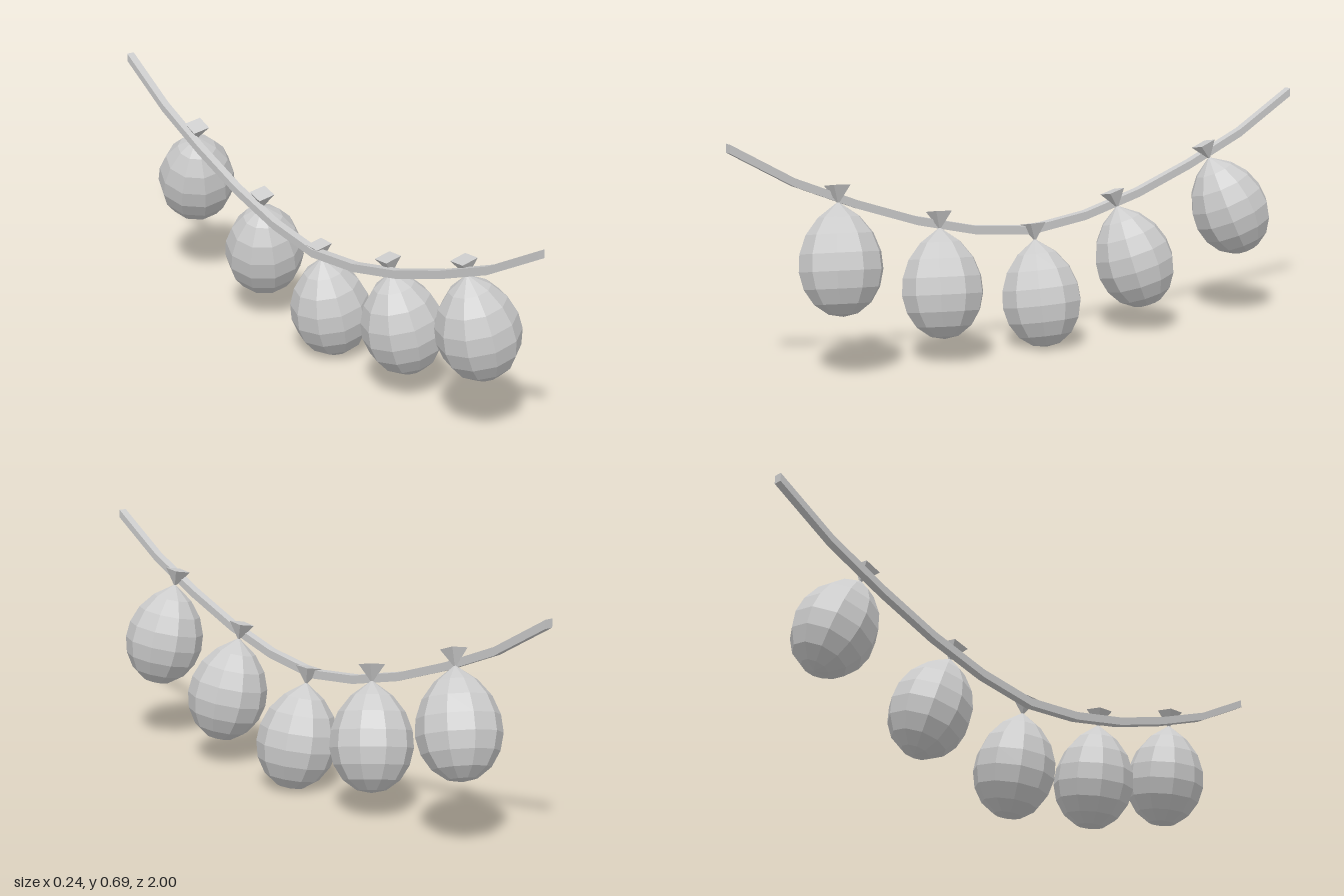
import * as THREE from 'three';

export function createModel() {
  const model = new THREE.Group();
  const material = new THREE.MeshStandardMaterial({ color: 0xcccccc, flatShading: true });

  // Sagging square cord, drawn from the side (z, y) and extruded across x
  const half = 0.0125;
  const sag = [[0, 0.347], [0.2, 0.37], [0.4, 0.419], [0.6, 0.488], [0.8, 0.57], [1, 0.682]];
  const path = [...sag.slice(1).reverse().map(([z, y]) => [-z, y]), ...sag];
  const outline = [
    ...path.map(([z, y]) => new THREE.Vector2(z, y - half)),
    ...path.slice().reverse().map(([z, y]) => new THREE.Vector2(z, y + half)),
  ];
  const cordGeometry = new THREE.ExtrudeGeometry(new THREE.Shape(outline), { depth: 0.024, bevelEnabled: false });
  cordGeometry.rotateY(-Math.PI / 2);
  const cord = new THREE.Mesh(cordGeometry, material);
  cord.position.x = -0.049;
  cord.name = 'cord';
  model.add(cord);

  // Ten-sided balloon hanging from its tip at the origin
  const profile = [
    [0, -0.322], [0.042, -0.314], [0.082, -0.285], [0.109, -0.242], [0.121, -0.193],
    [0.117, -0.143], [0.097, -0.09], [0.06, -0.043], [0, 0],
  ].map(([r, y]) => new THREE.Vector2(r, y));
  const balloonGeometry = new THREE.LatheGeometry(profile, 10, Math.PI / 2);

  // Knot: upside-down square pyramid
  const knotGeometry = new THREE.ConeGeometry(0.027 * Math.SQRT2, 0.054, 4);
  knotGeometry.rotateY(Math.PI / 4);
  knotGeometry.rotateX(Math.PI);
  knotGeometry.translate(0, 0.019, 0);

  // Tip height, tip depth and swing of each balloon
  const hangers = [
    [0.506, 0.672, -4.5], [0.396, 0.335, -4.5], [0.324, 0, 0],
    [0.392, -0.304, 14], [0.507, -0.66, 20],
  ];
  for (const [y, z, swing] of hangers) {
    const hanger = new THREE.Group();
    hanger.name = 'hangingBalloon';
    const balloon = new THREE.Mesh(balloonGeometry, material);
    balloon.name = 'balloon';
    const knot = new THREE.Mesh(knotGeometry, material);
    knot.name = 'knot';
    hanger.add(balloon, knot);
    hanger.position.set(-0.036, y, z);
    hanger.rotation.set(THREE.MathUtils.degToRad(swing), 0, THREE.MathUtils.degToRad(11));
    model.add(hanger);
  }

  return model;
}
